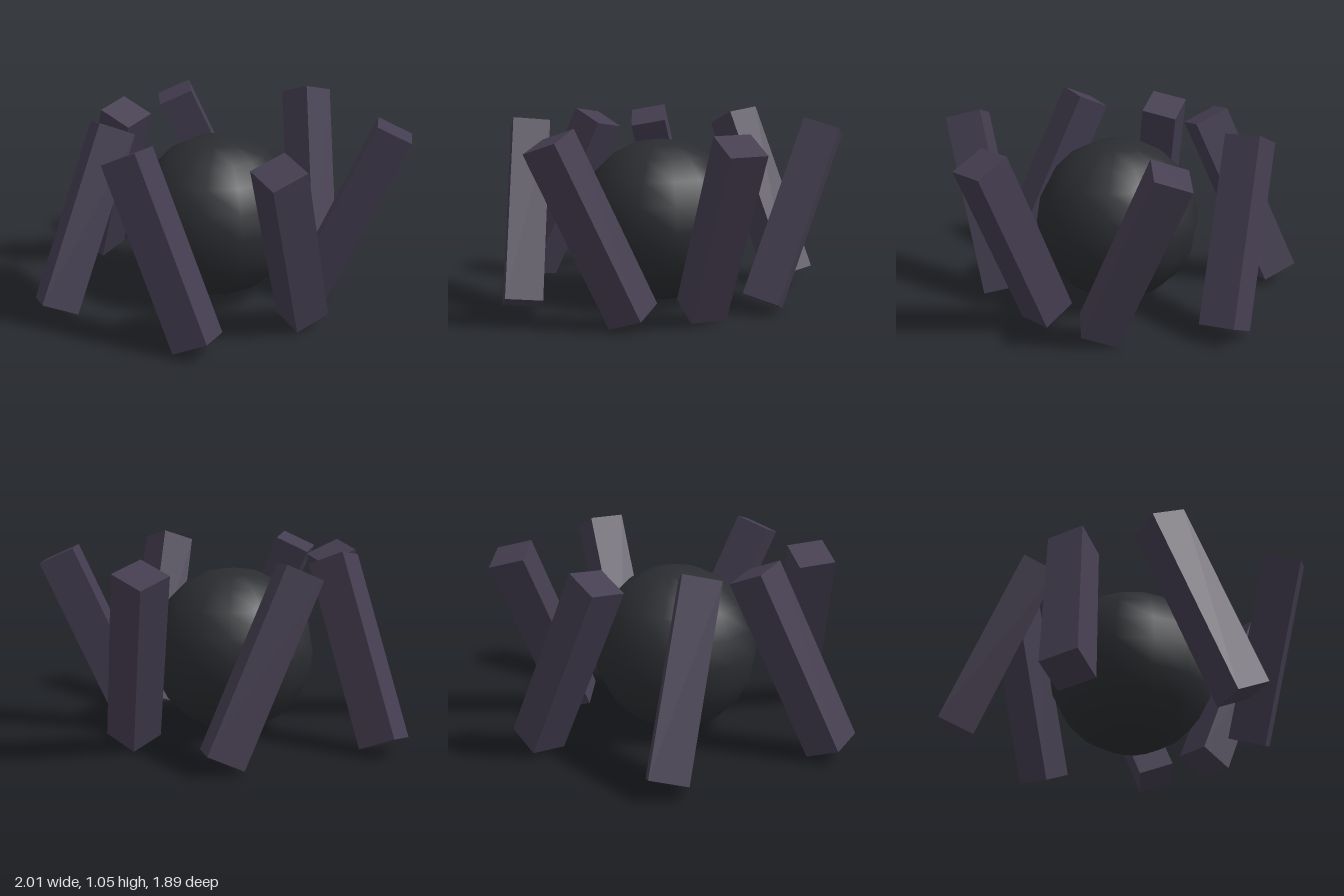
import * as THREE from 'three';

const COUNT = 7, RING = 0.755, CENTRE_X = -0.06;
const LEAN = 0.43; // lean of each bar from the vertical, in radians

export function createModel() {
  const model = new THREE.Group();

  // Dark ball in the middle
  const ball = new THREE.Mesh(
    new THREE.SphereGeometry(0.458, 14, 10).rotateY(Math.PI / 2),
    new THREE.MeshStandardMaterial({ color: 0x2b2d31 })
  );
  ball.name = 'ball';
  ball.position.set(CENTRE_X, 0.46, 0);
  model.add(ball);

  // Ring of square bars; the direction of lean turns twice as fast as the ring
  const barGeometry = new THREE.BoxGeometry(0.204, 1.02, 0.204);
  const barMaterial = new THREE.MeshStandardMaterial({ color: 0x443d50 });
  const up = new THREE.Vector3(0, 1, 0);
  const bars = new THREE.Group();
  bars.name = 'bars';
  for (let i = 0; i < COUNT; i++) {
    const a = (i / COUNT) * Math.PI * 2;
    const bar = new THREE.Mesh(barGeometry, barMaterial);
    bar.name = 'bar' + (i + 1);
    bar.position.set(CENTRE_X + RING * Math.cos(a), 0.527, RING * Math.sin(a));
    const leanAxis = new THREE.Vector3(Math.sin(2 * a), 0, -Math.cos(2 * a));
    const yaw = new THREE.Quaternion().setFromAxisAngle(up, -a);
    bar.quaternion.setFromAxisAngle(leanAxis, LEAN).multiply(yaw);
    bars.add(bar);
  }
  model.add(bars);
  return model;
}
